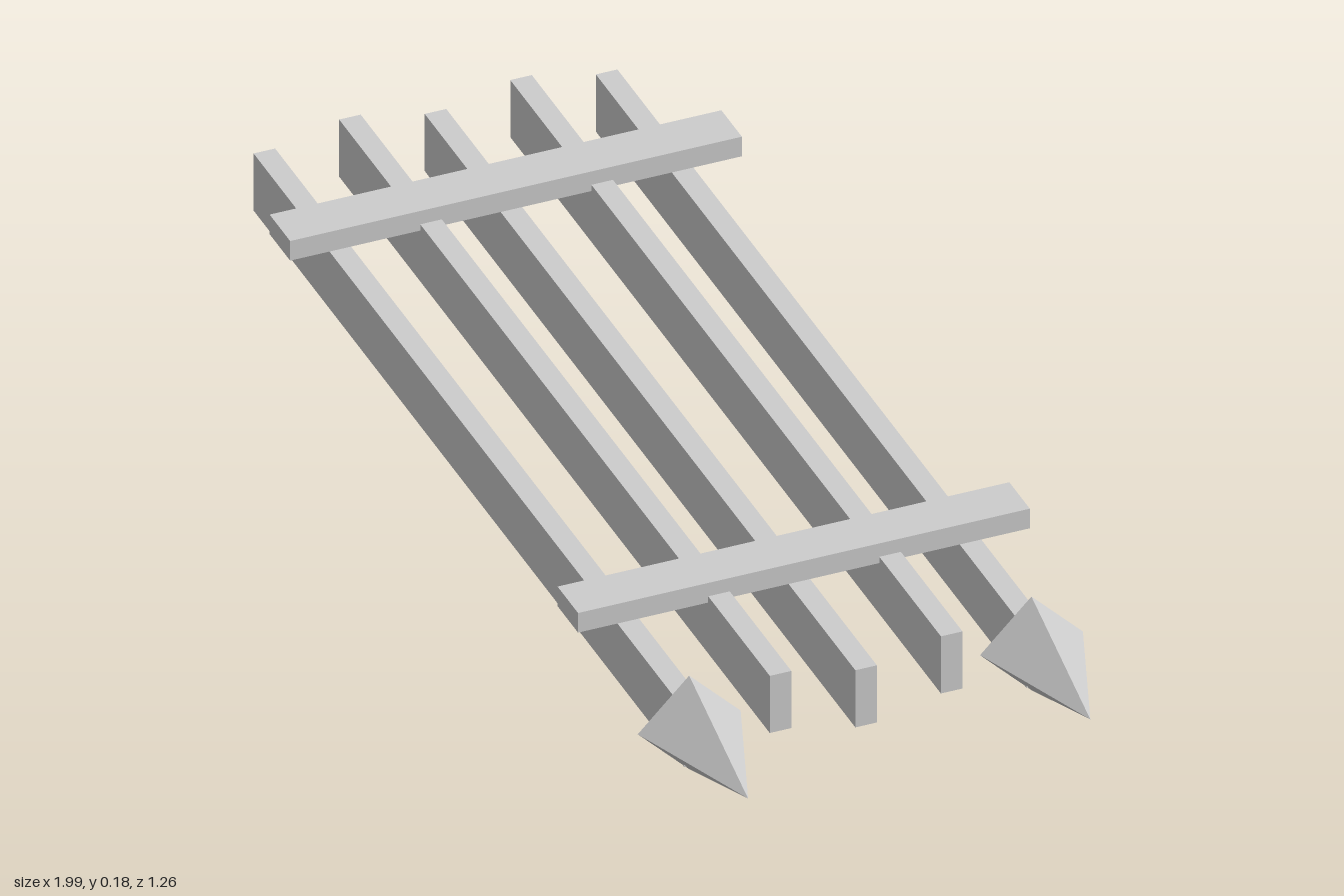
import * as THREE from 'three';

export function createModel() {
  const model = new THREE.Group();
  model.name = 'palisadePanel';
  const grey = new THREE.MeshStandardMaterial({ color: 0xcccccc, flatShading: true });
  grey.name = 'plain grey';

  // The whole panel lies flat, turned about the vertical axis
  const panel = new THREE.Group();
  panel.name = 'panel';
  panel.rotation.y = -THREE.MathUtils.degToRad(21.8);
  model.add(panel);

  const add = (name, geometry, x, y, z) => {
    const mesh = new THREE.Mesh(geometry, grey);
    mesh.name = name;
    mesh.position.set(x, y, z);
    panel.add(mesh);
  };

  // Five long slats, alternately low and raised
  const slat = new THREE.BoxGeometry(1.702, 0.105, 0.036);
  // Four-sided spike heads pointing along +x
  const spike = new THREE.ConeGeometry(0.086, 0.233, 4).rotateZ(-Math.PI / 2);
  for (let i = 0; i < 5; i++) {
    const z = 0.289 - 0.143 * i;
    add('slat' + (i + 1), slat, -0.102, i % 2 ? 0.101 : 0.075, z);
    if (i % 4 === 0) add(i ? 'rearSpike' : 'frontSpike', spike, 0.8425, 0.086, z);
  }

  // Two cross battens on top
  const batten = new THREE.BoxGeometry(0.081, 0.036, 0.755);
  add('rightBatten', batten, -0.673, 0.16, 0.004);
  add('leftBatten', batten, 0.465, 0.16, 0.004);

  return model;
}
